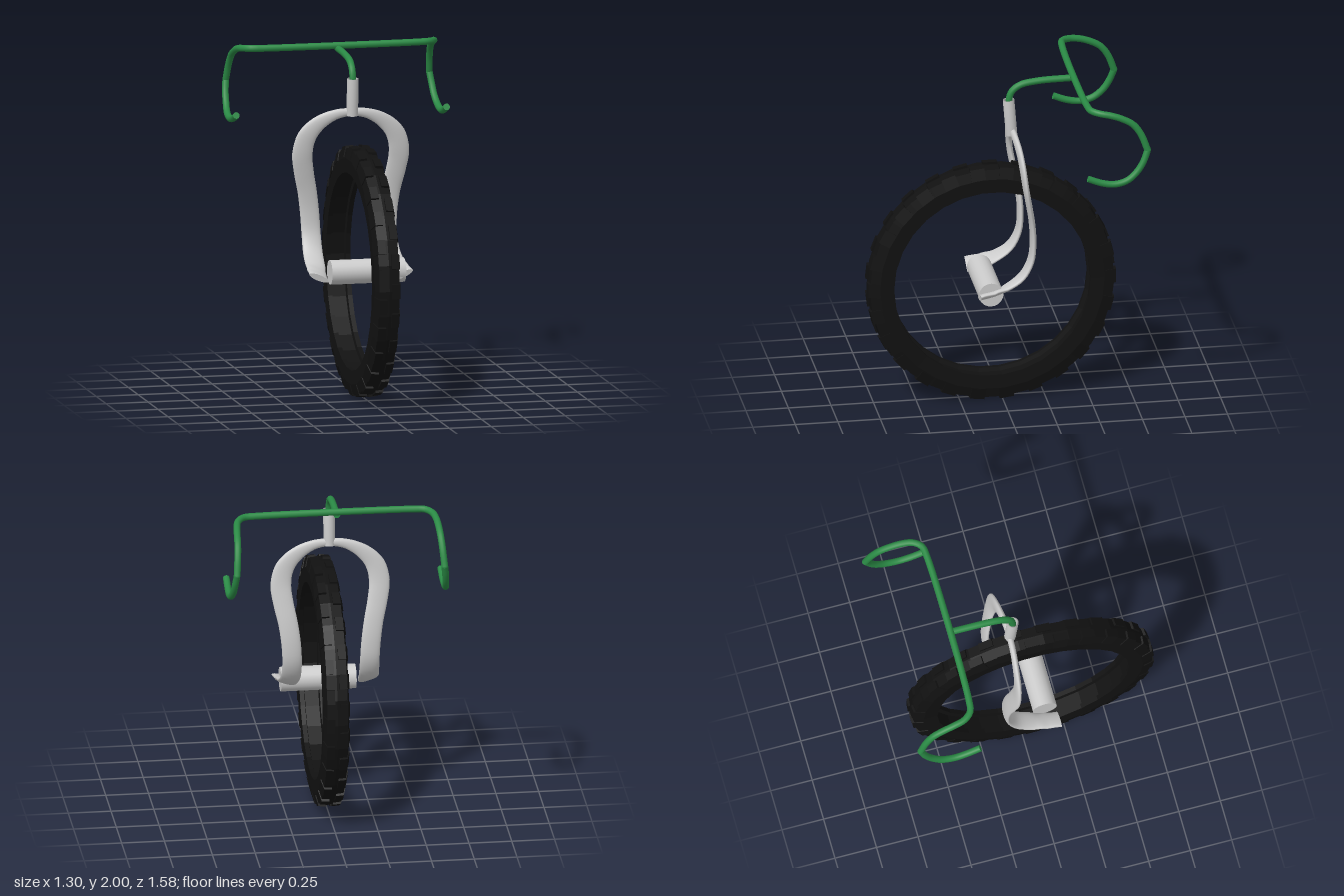
import * as THREE from 'three';

const V = (x, y, z) => new THREE.Vector3(x, y, z);
const paint = (color) => new THREE.MeshStandardMaterial({ color });

function add(parent, name, geometry, material) {
  const mesh = new THREE.Mesh(geometry, material);
  mesh.name = name;
  parent.add(mesh);
  return mesh;
}

// Round bar along a smooth curve, with end caps.
function bar(parent, name, points, radius, segments, material) {
  const curve = new THREE.CatmullRomCurve3(points, false, 'centripetal');
  const group = new THREE.Group();
  group.name = name;
  parent.add(group);
  add(group, name + 'Tube', new THREE.TubeGeometry(curve, segments, radius, 12), material);
  for (const t of [0, 1]) {
    const cap = add(group, name + 'Cap', new THREE.CircleGeometry(radius, 12), material);
    cap.position.copy(curve.getPoint(t));
    cap.lookAt(cap.position.clone().addScaledVector(curve.getTangent(t), t ? 1 : -1));
  }
  return group;
}

// Flattened elliptical bar; the half width follows the distance from the middle.
function bladeGeometry(points, widths, thickness, rings, sides) {
  const curve = new THREE.CatmullRomCurve3(points, false, 'centripetal');
  const pos = [], index = [];
  for (let i = 0; i <= rings; i++) {
    const t = i / rings;
    const p = curve.getPoint(t), T = curve.getTangent(t);
    const n = T.clone().cross(V(0, 0, 1)).normalize();
    const b = T.clone().cross(n);
    const f = t * (widths.length - 1), k = Math.min(Math.floor(f), widths.length - 2);
    const w = THREE.MathUtils.lerp(widths[k], widths[k + 1], f - k);
    for (let j = 0; j < sides; j++) {
      const a = (j / sides) * Math.PI * 2;
      const q = p.clone().addScaledVector(n, Math.cos(a) * w).addScaledVector(b, Math.sin(a) * thickness);
      pos.push(q.x, q.y, q.z);
      if (i < rings) {
        const c = i * sides + j, d = i * sides + (j + 1) % sides;
        index.push(c, d, c + sides, d, d + sides, c + sides);
      }
    }
  }
  // flat end caps with their own vertices
  for (const end of [0, rings]) {
    const base = pos.length / 3;
    pos.push(...pos.slice(end * sides * 3, (end + 1) * sides * 3));
    for (let j = 1; j < sides - 1; j++) {
      index.push(base, ...(end ? [base + j, base + j + 1] : [base + j + 1, base + j]));
    }
  }
  const g = new THREE.BufferGeometry();
  g.setAttribute('position', new THREE.Float32BufferAttribute(pos, 3));
  g.setIndex(index);
  g.computeVertexNormals();
  return g;
}

export function createModel() {
  const model = new THREE.Group();
  model.name = 'frontWheelAssembly';
  const grey = paint(0xcccccc);
  const green = paint(0x2a8a45);
  const black = paint(0x111111);
  black.flatShading = true;
  const mid = -0.018;

  // Wheel: low-poly tyre with a shallow inner channel
  const wheel = new THREE.Group();
  wheel.name = 'wheel';
  wheel.position.set(0.005, 0.735, 0.063);
  model.add(wheel);
  const section = [
    [0.577, -0.072], [0.66, -0.074], [0.718, -0.06], [0.724, 0], [0.718, 0.06], [0.66, 0.074],
    [0.577, 0.072], [0.577, 0.045], [0.6, 0.04], [0.6, -0.04], [0.577, -0.045], [0.577, -0.072],
  ].map(([r, h]) => new THREE.Vector2(r, h));
  const tyre = add(wheel, 'tyre', new THREE.LatheGeometry(section, 30), black);
  tyre.rotation.z = -Math.PI / 2;

  // Tread blocks alternate between the two shoulders
  const count = 52;
  for (let i = 0; i < count; i++) {
    const side = i % 2 ? 1 : -1;
    const pivot = new THREE.Group();
    pivot.name = 'treadBlock';
    pivot.rotation.x = (i / count) * Math.PI * 2;
    wheel.add(pivot);
    const shape = new THREE.Shape([[0.015, 0.7], [0.079, 0.66], [0.061, 0.728], [0.015, 0.732]]
      .map(([x, y]) => new THREE.Vector2(x, y)));
    const block = add(pivot, 'block', new THREE.ExtrudeGeometry(shape, { depth: 0.085, bevelEnabled: false }), black);
    block.position.z = -0.0425 * side;
    if (side < 0) block.rotation.y = Math.PI;
  }

  // Hub
  const hub = add(model, 'hub', new THREE.CylinderGeometry(0.072, 0.072, 0.44, 20), grey);
  hub.rotation.z = Math.PI / 2;
  hub.position.set(0.03, 0.74, 0.098);

  // Fork: one flattened bar from tip to tip
  const leg = [
    [0.1, 1.637, -0.073], [0.2, 1.585, -0.082], [0.265, 1.51, -0.09], [0.288, 1.41, -0.102],
    [0.275, 1.3, -0.122], [0.25, 1.18, -0.143], [0.233, 1.05, -0.153], [0.227, 0.93, -0.142],
    [0.229, 0.83, -0.09], [0.236, 0.765, 0.005], [0.245, 0.738, 0.08], [0.252, 0.722, 0.163],
  ];
  const legPoints = (s) => leg.map(([x, y, z]) => V(mid + s * x, y, z));
  const forkPath = [...legPoints(1).reverse(), V(mid, 1.65, -0.07), ...legPoints(-1)];
  const half = [0.03, 0.045, 0.057, 0.061, 0.059, 0.057, 0.057, 0.057, 0.059, 0.061, 0.062, 0.062];
  add(model, 'fork', bladeGeometry(forkPath, [...half.slice().reverse(), 0.022, ...half], 0.018, 96, 20), grey);

  // Head tube: open, slightly tilted sleeve
  const sleeve = [[0.026, -0.11], [0.034, -0.11], [0.034, 0.11], [0.026, 0.11], [0.026, -0.11]]
    .map(([r, h]) => new THREE.Vector2(r, h));
  const headTube = add(model, 'headTube', new THREE.LatheGeometry(sleeve, 20), grey);
  headTube.position.set(mid, 1.74, -0.056);
  headTube.rotation.x = 0.08;

  // Stem
  bar(model, 'stem', [
    V(mid, 1.76, -0.056), V(mid, 1.85, -0.05), V(mid, 1.9, -0.066), V(mid, 1.938, -0.115),
    V(mid, 1.957, -0.22), V(mid, 1.963, -0.43),
  ], 0.02, 32, green);

  // Handlebar: crossbar with backward bends, then a hooked drop on each side
  const bend = [
    [0.46, 1.98, -0.433], [0.53, 1.98, -0.445], [0.568, 1.975, -0.49], [0.582, 1.965, -0.55],
    [0.588, 1.945, -0.61], [0.593, 1.905, -0.68], [0.599, 1.84, -0.727], [0.607, 1.745, -0.763],
  ];
  const hook = [
    [0.607, 1.745, -0.763], [0.615, 1.68, -0.738], [0.62, 1.62, -0.7], [0.627, 1.57, -0.64],
    [0.629, 1.552, -0.565], [0.628, 1.564, -0.49], [0.627, 1.595, -0.41],
  ];
  const at = (list, s) => list.map(([x, y, z]) => V(s * x, y, z));
  bar(model, 'handlebar', [...at(bend, -1).reverse(), ...at(bend, 1)], 0.02, 100, green);
  for (const s of [1, -1]) {
    bar(model, s > 0 ? 'leftDrop' : 'rightDrop', at(hook, s), 0.02, 28, green);
    const joint = add(model, 'dropJoint', new THREE.SphereGeometry(0.02, 12, 8), green);
    joint.position.set(s * 0.607, 1.745, -0.763);
  }

  return model;
}
